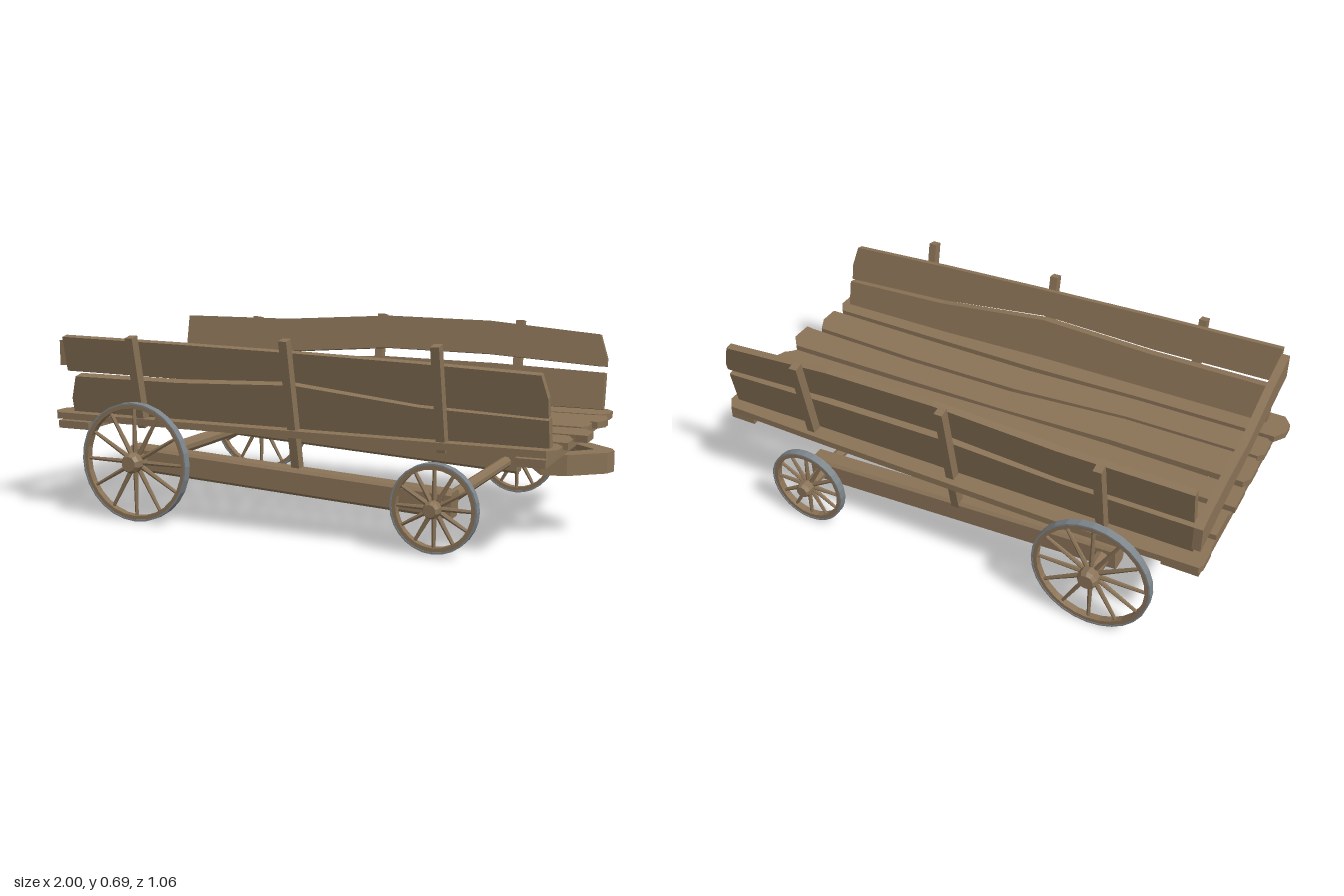
import * as THREE from 'three';

const wood = new THREE.MeshStandardMaterial({ color: 0x8a7357, flatShading: true });
wood.name = 'weathered wood';
const steel = new THREE.MeshStandardMaterial({ color: 0x7d858a, flatShading: true });
steel.name = 'tyre steel';

function add(parent, name, geometry, material = wood) {
  const mesh = new THREE.Mesh(geometry, material);
  mesh.name = name;
  parent.add(mesh);
  return mesh;
}

// Extrudes a closed outline of [x, y] points along z
function slab(points, depth) {
  const shape = new THREE.Shape(points.map(([x, y]) => new THREE.Vector2(x, y)));
  return new THREE.ExtrudeGeometry(shape, { depth, bevelEnabled: false });
}

// Rough-cut board outline from stations of [along, low edge, high edge]
function boardOutline(stations) {
  const low = stations.map(([a, lo]) => [a, lo]);
  const high = stations.map(([a, , hi]) => [a, hi]).reverse();
  return [...low, ...high];
}

// Ring with a rectangular section, axis along z
function ring(inner, outer, width, sides) {
  const h = width / 2;
  const profile = [[inner, -h], [outer, -h], [outer, h], [inner, h], [inner, -h]];
  return new THREE.LatheGeometry(profile.map(([r, y]) => new THREE.Vector2(r, y)), sides)
    .rotateX(Math.PI / 2);
}

function makeWheel(radius, hubRadius) {
  const wheel = new THREE.Group();
  add(wheel, 'wheelRim', ring(radius - 0.02, radius - 0.005, 0.026, 28));
  add(wheel, 'wheelTyre', ring(radius - 0.006, radius, 0.03, 28), steel);
  // Chamfered hub
  const h = 0.035;
  const hub = [[0, -h], [hubRadius * 0.75, -h], [hubRadius, -h * 0.6],
    [hubRadius, h * 0.6], [hubRadius * 0.75, h], [0, h]];
  add(wheel, 'wheelHub', new THREE.LatheGeometry(hub.map(([r, y]) => new THREE.Vector2(r, y)), 10)
    .rotateX(Math.PI / 2));
  // Tapered spokes
  const length = radius - 0.015 - hubRadius * 0.6;
  for (let i = 0; i < 12; i++) {
    const spoke = new THREE.CylinderGeometry(0.006, 0.009, length, 6)
      .translate(0, hubRadius * 0.6 + length / 2, 0)
      .rotateZ((i * Math.PI) / 6);
    add(wheel, 'wheelSpoke', spoke);
  }
  return wheel;
}

export function createModel() {
  const cart = new THREE.Group();
  cart.name = 'farmCart';

  // Axles and wheels
  const axles = [
    { name: 'rear', x: -0.61, y: 0.216, radius: 0.216, hub: 0.037, axle: 0.028 },
    { name: 'front', x: 0.525, y: 0.158, radius: 0.15, hub: 0.029, axle: 0.022 },
  ];
  for (const a of axles) {
    add(cart, a.name + 'Axle', new THREE.CylinderGeometry(a.axle, a.axle, 1.05, 10).rotateX(Math.PI / 2))
      .position.set(a.x, a.y, 0);
    for (const side of [-1, 1]) {
      const wheel = makeWheel(a.radius, a.hub);
      wheel.name = a.name + (side > 0 ? 'LeftWheel' : 'RightWheel');
      wheel.position.set(a.x, a.y, side * 0.484);
      // The hub sits a little outboard of the spokes
      wheel.getObjectByName('wheelHub').position.z = side * 0.012;
      cart.add(wheel);
    }
  }

  // Sloping side beams resting on the axles
  for (const z of [0.41, -0.36]) {
    const c = 0.01, w = 0.0375, h = 0.045;
    const section = [[-w + c, -h], [w - c, -h], [w, -h + c], [w, h - c],
      [w - c, h], [-w + c, h], [-w, h - c], [-w, -h + c]];
    const beam = add(cart, 'sideBeam', slab(section, 1.23).translate(0, 0, -0.615).rotateY(Math.PI / 2));
    beam.position.set(-0.045, 0.19, z);
    beam.rotation.z = -0.05;
  }

  // Floor planks: stations of [x, z low, z high]
  const planks = [
    [[-0.97, -0.43, -0.36], [-0.96, -0.45, -0.31], [-0.45, -0.46, -0.305], [0, -0.455, -0.305],
      [0.45, -0.45, -0.3], [0.88, -0.44, -0.3], [0.91, -0.4, -0.34]],
    [[-0.96, -0.28, -0.15], [-0.45, -0.29, -0.135], [0, -0.285, -0.14], [0.45, -0.285, -0.15],
      [0.91, -0.285, -0.14], [0.93, -0.22, -0.18]],
    [[-0.97, -0.12, -0.01], [-0.45, -0.12, 0], [0, -0.125, -0.005], [0.45, -0.14, -0.015],
      [0.88, -0.145, -0.015], [0.9, -0.1, -0.04]],
    [[-0.97, 0.05, 0.13], [-0.95, 0.02, 0.165], [-0.45, 0.025, 0.165], [0, 0.01, 0.125],
      [0.45, 0.01, 0.125], [0.9, 0.01, 0.14], [0.94, 0.06, 0.145]],
    [[-0.97, 0.2, 0.28], [-0.95, 0.18, 0.295], [-0.45, 0.18, 0.295], [0, 0.145, 0.28],
      [0.45, 0.145, 0.285], [0.88, 0.16, 0.295], [0.91, 0.22, 0.295]],
    [[-1, 0.36, 0.41], [-0.97, 0.315, 0.45], [-0.45, 0.315, 0.46], [0, 0.305, 0.46],
      [0.45, 0.31, 0.46], [0.88, 0.315, 0.455], [0.91, 0.36, 0.42]],
  ];
  for (const stations of planks) {
    const outline = boardOutline(stations.map(([x, z0, z1]) => [x, -z1, -z0]));
    add(cart, 'floorPlank', slab(outline, 0.024).rotateX(-Math.PI / 2)).position.y = 0.345;
  }

  // Cross bars under the floor
  for (const [x, width] of [[-0.895, 0.13], [0.83, 0.1]]) {
    const bar = add(cart, 'floorCrossBar', new THREE.BoxGeometry(width, 0.028, 0.895));
    bar.position.set(x, 0.331, 0.007);
    bar.rotation.x = 0.012;
  }

  // Leaning side boards: stations of [x, y low, y high]
  const tilt = 0.205;
  const sides = [
    { side: 1, offset: 0.334,
      lower: [[-0.92, 0.37, 0.42], [-0.89, 0.37, 0.505], [-0.45, 0.37, 0.505], [0, 0.37, 0.522],
        [0.45, 0.36, 0.475], [0.88, 0.352, 0.46]],
      upper: [[-0.92, 0.525, 0.652], [-0.45, 0.52, 0.645], [0, 0.535, 0.635], [0.45, 0.485, 0.622],
        [0.86, 0.468, 0.605], [0.88, 0.468, 0.53]] },
    { side: -1, offset: -0.316,
      lower: [[-0.92, 0.375, 0.5], [-0.45, 0.375, 0.5], [0, 0.375, 0.525], [0.45, 0.375, 0.52],
        [0.88, 0.372, 0.505]],
      upper: [[-0.92, 0.525, 0.655], [-0.45, 0.525, 0.657], [0, 0.56, 0.685], [0.42, 0.555, 0.68],
        [0.85, 0.53, 0.645], [0.88, 0.53, 0.56]] },
  ];
  for (const { side, offset, lower, upper } of sides) {
    for (const [name, stations, thick] of [['lowerSideBoard', lower, 0.04], ['upperSideBoard', upper, 0.027]]) {
      const outline = boardOutline(stations.map(([x, lo, hi]) => [x, lo / Math.cos(tilt), hi / Math.cos(tilt)]));
      const board = add(cart, name, slab(outline, thick).translate(0, 0, side > 0 ? -thick : 0));
      board.rotation.x = side * tilt;
      board.position.z = offset;
    }
  }

  // Leaning posts outside the boards; the middle pair reaches the beams
  const posts = [
    [1, -0.61, 0.34, 0.67], [1, -0.005, 0.2, 0.685], [1, 0.53, 0.34, 0.69],
    [-1, -0.61, 0.34, 0.665], [-1, -0.045, 0.2, 0.695], [-1, 0.53, 0.34, 0.69],
  ];
  for (const [side, x, y0, y1] of posts) {
    const length = (y1 - y0) / Math.cos(tilt);
    const post = add(cart, 'sidePost', new THREE.BoxGeometry(0.03, length, 0.036)
      .translate(0, y0 / Math.cos(tilt) + length / 2, side * 0.018));
    post.rotation.x = side * tilt;
    post.position.set(x, 0, side > 0 ? 0.334 : -0.316);
  }

  // Crooked tailboard: stations of [z, y low, y high]
  const tail = [[-0.42, 0.41, 0.5], [-0.38, 0.41, 0.51], [-0.2, 0.442, 0.535], [0.02, 0.472, 0.545],
    [0.25, 0.515, 0.605], [0.41, 0.54, 0.632], [0.445, 0.545, 0.637]];
  const tailOutline = boardOutline(tail.map(([z, lo, hi]) => [-z, lo, hi]).reverse());
  add(cart, 'tailboard', slab(tailOutline, 0.03).rotateY(Math.PI / 2)).position.x = -0.95;

  // Drawbar: a flat V with two arms rising to the floor
  const vee = [[0.785, -0.15], [0.87, -0.13], [0.985, -0.035], [1, 0.01], [0.985, 0.045], [0.87, 0.14],
    [0.785, 0.16], [0.785, 0.1], [0.85, 0.08], [0.93, 0.01], [0.85, -0.07], [0.785, -0.09]];
  add(cart, 'drawbarYoke', slab(vee, 0.072).rotateX(-Math.PI / 2)).position.y = 0.224;
  const arm = [[0.62, 0.345], [0.785, 0.224], [0.785, 0.296], [0.7, 0.345]];
  for (const z of [-0.16, 0.09]) {
    add(cart, 'drawbarArm', slab(arm, 0.06)).position.z = z;
  }
  return cart;
}
